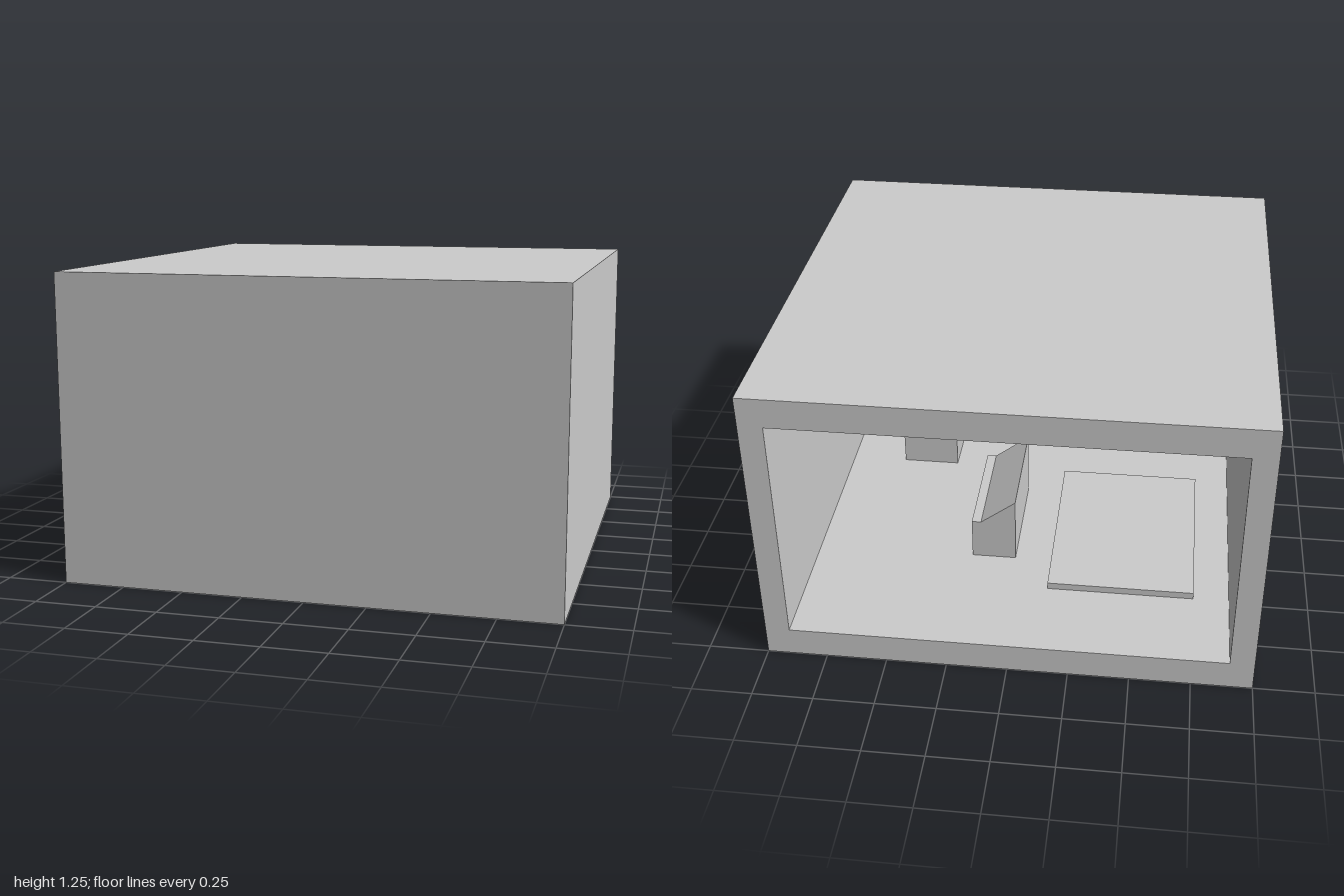
import * as THREE from 'three';

const material = new THREE.MeshStandardMaterial({ color: 0xcccccc, flatShading: true });
const FLOOR = 0.125;

function add(parent, name, geometry) {
  const mesh = new THREE.Mesh(geometry, material);
  mesh.name = name;
  parent.add(mesh);
  return mesh;
}

// Box given by its lower and upper corners
function block(parent, name, [x0, y0, z0], [x1, y1, z1]) {
  const mesh = add(parent, name, new THREE.BoxGeometry(x1 - x0, y1 - y0, z1 - z0));
  mesh.position.set((x0 + x1) / 2, (y0 + y1) / 2, (z0 + z1) / 2);
  return mesh;
}

// Profile in x and y, extruded from z0 to z1
function extrude(parent, name, shape, z0, z1) {
  const geometry = new THREE.ExtrudeGeometry(shape, { depth: z1 - z0, bevelEnabled: false });
  geometry.translate(0, 0, z0);
  return add(parent, name, geometry);
}

function outline(Type, points) {
  return new Type(points.map(([x, y]) => new THREE.Vector2(x, y)));
}

function rectangle(Type, x0, y0, x1, y1) {
  return outline(Type, [[x0, y0], [x1, y0], [x1, y1], [x0, y1]]);
}

export function createModel() {
  const model = new THREE.Group();
  model.name = 'room';

  // Floor, side walls and ceiling as one tube, open at the back
  const frame = rectangle(THREE.Shape, -1, 0, 1, 1.25);
  frame.holes.push(rectangle(THREE.Path, -0.9, FLOOR, 0.9, 1.125));
  extrude(model, 'shell', frame, -1, 1);

  // Thick wall closing the front
  block(model, 'frontWall', [-0.9, FLOOR, 0.65], [0.9, 1.125, 1]);

  // Counter with a top that slopes down to a narrow ledge
  const counter = outline(THREE.Shape, [
    [0.03, FLOOR], [0.22, FLOOR], [0.22, 0.31], [0.18, 0.31], [0.03, 0.425],
  ]);
  extrude(model, 'counter', counter, -0.435, 0.07);

  // Chair facing the front wall
  const chair = new THREE.Group();
  chair.name = 'chair';
  block(chair, 'chairSeat', [0.395, FLOOR, 0.315], [0.65, 0.25, 0.485]);
  block(chair, 'chairBack', [0.395, FLOOR, 0.25], [0.65, 0.5, 0.315]);
  model.add(chair);

  // Low platform on the floor
  block(model, 'platform', [-0.75, FLOOR, -0.625], [-0.13, 0.155, 0.2]);

  return model;
}
